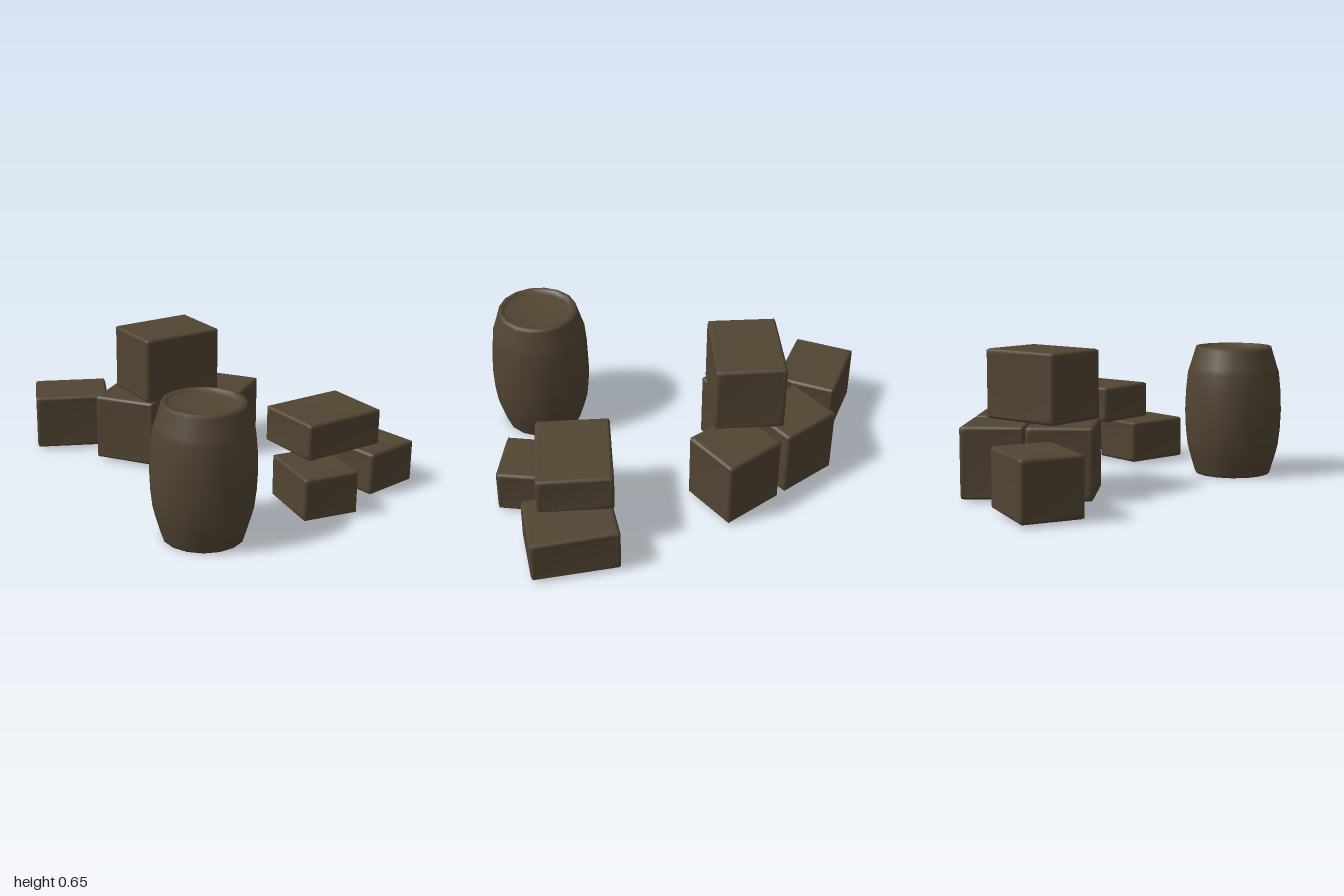
import * as THREE from 'three';
import { mergeVertices } from 'three/addons/utils/BufferGeometryUtils.js';

const wood = new THREE.MeshStandardMaterial({ color: 0x514432 });
wood.name = 'dark brown wood';

// Crate: box with softened edges and a shallow sunken panel on every side
function crateGeometry(w, h, d) {
  const half = [w / 2, h / 2, d / 2];
  const geo = new THREE.BoxGeometry(2, 2, 2, 5, 5, 5);
  const pos = geo.attributes.position;
  const inset = [0.03, 0.014, 0]; // grid lines, from panel edge to outer edge
  for (let i = 0; i < pos.count; i++) {
    const p = [pos.getX(i), pos.getY(i), pos.getZ(i)];
    const ring = p.map((v) => Math.round((Math.abs(v) * 5 - 1) / 2)); // 0 panel, 1 rim, 2 outside
    const outside = ring.filter((r) => r === 2).length;
    const panel = ring.filter((r) => r === 0).length === 2;
    const q = p.map((v, k) => {
      let s = half[k] - inset[ring[k]];
      if (ring[k] === 2 && (outside > 1 || panel)) s -= 0.005;
      return Math.sign(v) * s;
    });
    pos.setXYZ(i, ...q);
  }
  geo.deleteAttribute('normal');
  geo.deleteAttribute('uv');
  geo.clearGroups();
  const merged = mergeVertices(geo, 1e-4);
  merged.computeVertexNormals();
  return merged;
}

// Barrel: bulging staves, rims and sunken ends
function barrelGeometry() {
  const profile = [
    [0, 0.025], [0.155, 0.025], [0.16, 0.003], [0.183, 0.003], [0.187, 0.015],
    [0.212, 0.1], [0.222, 0.14], [0.231, 0.22], [0.235, 0.31], [0.231, 0.41],
    [0.222, 0.5], [0.212, 0.53], [0.187, 0.612], [0.183, 0.627],
    [0.16, 0.627], [0.155, 0.605], [0, 0.605],
  ].map(([r, y]) => new THREE.Vector2(r, y));
  return new THREE.LatheGeometry(profile, 16);
}

export function createModel() {
  const group = new THREE.Group();
  group.name = 'cratesAndBarrel';

  // name, centre x and z, bottom, top, width, depth, turn
  const crates = [
    ['leftCrate', -0.775, -0.33, 0.013, 0.283, 0.365, 0.285, 0.52],
    ['stackBackCrate', -0.38, -0.57, 0.013, 0.338, 0.3, 0.285, 0],
    ['stackFrontCrate', -0.375, -0.273, 0.013, 0.338, 0.31, 0.3, 0],
    ['stackSideCrate', -0.04, -0.57, 0.013, 0.338, 0.305, 0.285, 0],
    ['stackTopCrate', -0.256, -0.383, 0.338, 0.656, 0.315, 0.415, -0.61],
    ['rightBackCrate', 0.757, -0.41, 0.013, 0.218, 0.39, 0.295, -0.464],
    ['rightFrontCrate', 0.645, -0.006, 0.013, 0.218, 0.335, 0.272, -0.785],
    ['rightTopCrate', 0.607, -0.238, 0.228, 0.404, 0.335, 0.42, -0.6],
  ];
  for (const [name, x, z, bottom, top, w, d, turn] of crates) {
    const crate = new THREE.Mesh(crateGeometry(w, top - bottom, d), wood);
    crate.name = name;
    crate.position.set(x, (bottom + top) / 2, z);
    crate.rotation.y = turn;
    group.add(crate);
  }

  const barrel = new THREE.Mesh(barrelGeometry(), wood);
  barrel.name = 'barrel';
  barrel.position.set(0.29, 0, 0.475);
  group.add(barrel);
  return group;
}
